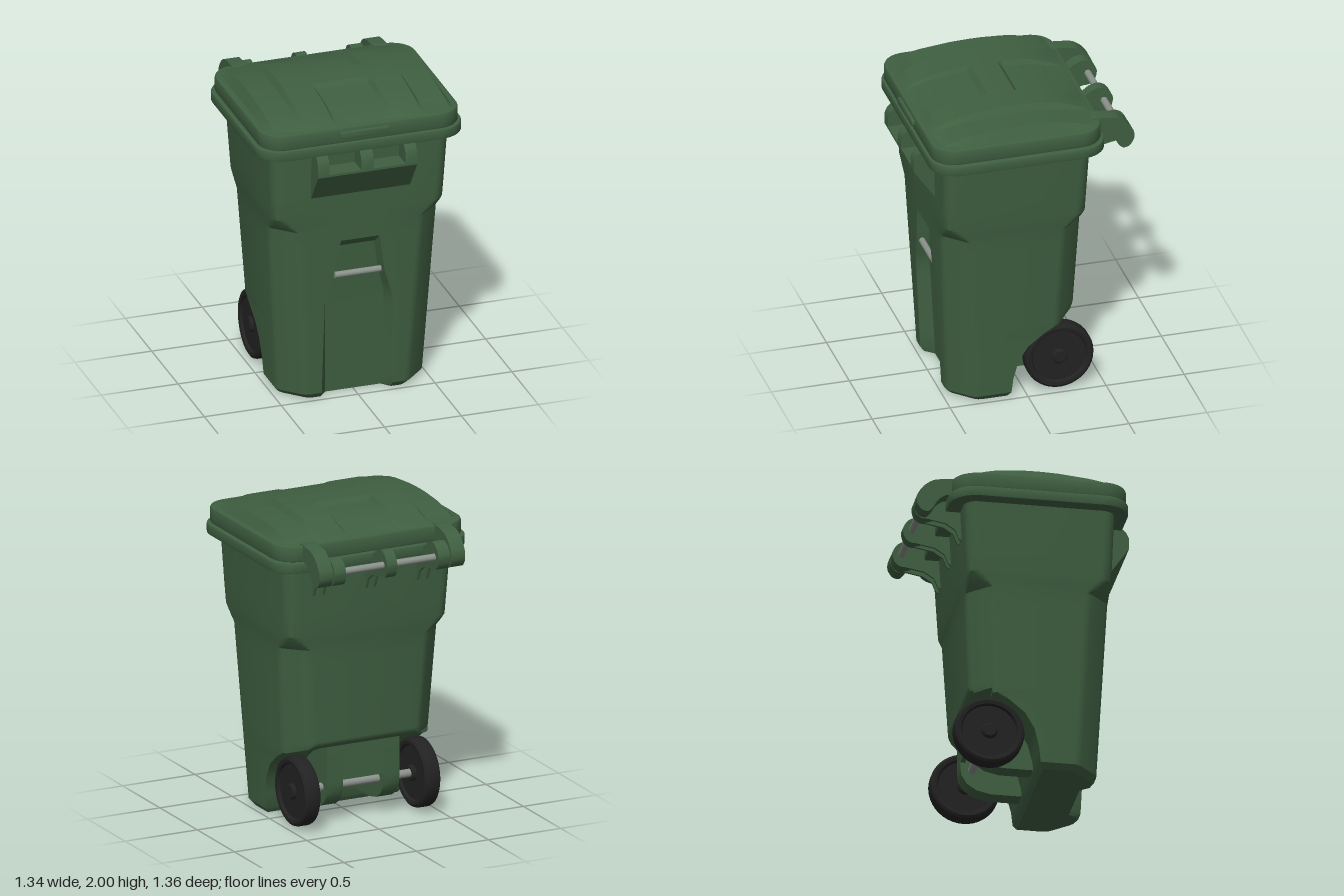
import * as THREE from 'three';
import { toCreasedNormals } from 'three/addons/utils/BufferGeometryUtils.js';

const material = (name, color) => {
  const m = new THREE.MeshStandardMaterial({ color });
  m.name = name;
  return m;
};

// Linear interpolation in a table of [key, value] pairs
function at(table, k) {
  if (k <= table[0][0]) return table[0][1];
  for (let i = 1; i < table.length; i++) {
    const [k0, v0] = table[i - 1], [k1, v1] = table[i];
    if (k <= k1) return v0 + (v1 - v0) * (k - k0) / (k1 - k0);
  }
  return table[table.length - 1][1];
}

// Side profile of [z, y] points, extruded to a width along x
function sideExtrude(points, width, x, smooth = false) {
  const v = points.map(p => new THREE.Vector2(p[0], p[1]));
  const outline = smooth ? new THREE.CatmullRomCurve3(v.map(p => new THREE.Vector3(p.x, p.y, 0)), true, 'catmullrom', 0.4)
    .getPoints(48).slice(0, -1).map(p => new THREE.Vector2(p.x, p.y)) : v;
  const g = new THREE.ExtrudeGeometry(new THREE.Shape(outline), { depth: width, bevelEnabled: false });
  g.translate(0, 0, -width / 2).rotateY(-Math.PI / 2).translate(x, 0, 0);
  return toCreasedNormals(g, 0.5);
}

// Horizontal slab with rounded corners
function slab(hx, zBack, zFront, r, y0, y1, bevel) {
  const s = new THREE.Shape(), a = -zFront, b = -zBack;
  s.moveTo(-hx + r, a).lineTo(hx - r, a);
  s.absarc(hx - r, a + r, r, -Math.PI / 2, 0);
  s.absarc(hx - r, b - r, r, 0, Math.PI / 2);
  s.absarc(-hx + r, b - r, r, Math.PI / 2, Math.PI);
  s.absarc(-hx + r, a + r, r, Math.PI, Math.PI * 1.5);
  const g = new THREE.ExtrudeGeometry(s, {
    depth: y1 - y0 - 2 * bevel, bevelSize: bevel, bevelOffset: -bevel,
    bevelThickness: bevel, bevelSegments: 2, curveSegments: 8,
  });
  g.rotateX(-Math.PI / 2).translate(0, y0 + bevel, 0);
  return toCreasedNormals(g, 0.6);
}

// One horizontal outline of the tub, with chamfered corners, front channel and wheel arch
const CHAMFER = [[1.1, 0], [0.95, 0.03], [0.8, 0.13], [0.13, 0.8], [0.03, 0.95], [0, 1.1]];
function tubOutline(y) {
  const inset = at([[0, 0.025], [0.035, 0]], y);
  const hx = at([[0, 0.475], [1.74, 0.585]], y) - inset;
  const zf = at([[0, 0.477], [1.4, 0.545], [1.74, 0.555]], y) - inset;
  const zb = at([[0, -0.3], [0.55, -0.33], [1.74, -0.39]], y);
  const cut = at([[0, 0.12], [0.035, 0.1], [0.13, 0.09], [0.25, 0.06], [0.35, 0], [0.43, -0.1],
    [0.475, -0.2], [0.51, -0.3], [0.55, -0.34], [0.56, -1]], y);
  const depth = at([[0, 0.08], [0.6, 0.08], [1.01, 0.07], [1.075, 0]], y) - inset * (y < 1 ? 1 : 0);
  const inner = at([[0, 0.18], [0.65, 0.19], [0.83, 0.145], [1.01, 0.12]], y);
  const outer = at([[0, 0.23], [0.65, 0.22], [0.83, 0.165], [1.075, 0.13]], y);
  const t = at([[1.17, 1], [1.27, 0]], y), r = 0.08 + 0.075 * t;
  const corner = CHAMFER.map(([u, v], k) => {
    const a = k * Math.PI / 10;
    return [(u * t + (1 - Math.sin(a)) * (1 - t)) * r, (v * t + (1 - Math.cos(a)) * (1 - t)) * r];
  });
  const half = [[inner, zf - depth], [outer, zf]];
  corner.forEach(([u, v]) => half.push([hx - u, zf - v]));
  [...corner].reverse().forEach(([u, v]) => half.push([hx - u, Math.max(zb + v, cut)]));
  return [...half, ...half.map(([x, z]) => [-x, z]).reverse()];
}

function tubGeometry() {
  const ys = [0, 0.015, 0.035, 0.13, 0.25, 0.3, 0.35, 0.39, 0.43, 0.475, 0.51, 0.53, 0.55, 0.56, 0.65, 0.74, 0.83,
    0.92, 1.01, 1.075, 1.17, 1.2, 1.24, 1.27, 1.4, 1.74];
  const rows = ys.map(tubOutline), n = rows[0].length, pos = [], idx = [];
  rows.forEach((row, i) => row.forEach(([x, z]) => pos.push(x, ys[i], z)));
  for (let i = 0; i < rows.length - 1; i++) for (let j = 0; j < n; j++) {
    const a = i * n + j, b = i * n + (j + 1) % n;
    idx.push(a, b, b + n, a, b + n, a + n);
  }
  const floor = rows[0].map(([x, z]) => new THREE.Vector2(x, -z));
  THREE.ShapeUtils.triangulateShape(floor, []).forEach(([a, b, c]) => idx.push(a, c, b));
  return finish(pos, idx);
}

function finish(pos, idx) {
  const g = new THREE.BufferGeometry();
  g.setAttribute('position', new THREE.Float32BufferAttribute(pos, 3));
  g.setIndex(idx);
  return toCreasedNormals(g, 0.45);
}

// Domed lid top: a raised deck with two sunken panels, and lower shoulders at the sides
function lidDomeGeometry() {
  const xh = [0.17, 0.19, 0.375, 0.4, 0.57, 0.61];
  const xs = [...xh.map(x => -x).reverse(), ...xh];
  const zs = [-0.45, -0.41, -0.35, -0.28, -0.2, -0.12, -0.03, 0, 0.08, 0.17, 0.2, 0.3, 0.4, 0.48, 0.54, 0.58, 0.61];
  const crown = [[-0.45, 1.885], [-0.41, 1.905], [-0.3, 1.95], [-0.2, 1.98], [-0.05, 1.996], [0.05, 2],
    [0.2, 1.993], [0.4, 1.965], [0.5, 1.94], [0.58, 1.905], [0.61, 1.885]];
  const pos = [], idx = [];
  for (const z of zs) for (const x of xs) {
    const ax = Math.abs(x), panel = ax < 0.18 && (z < -0.02 || z > 0.19);
    const f = ax > 0.6 ? 0 : ax > 0.39 ? 0.65 : panel ? 0.72 : 1;
    const s = ax > 0.6 ? 0.86 : ax > 0.5 ? 0.94 : 1;
    pos.push(x, 1.885 + (at(crown, z) - 1.885) * f, 0.08 + (z - 0.08) * s);
  }
  const n = xs.length;
  for (let i = 0; i < zs.length - 1; i++) for (let j = 0; j < n - 1; j++) {
    const a = i * n + j;
    idx.push(a, a + n, a + n + 1, a, a + n + 1, a + 1);
  }
  return finish(pos, idx);
}

export function createModel() {
  const green = material('green plastic', 0x3f5f41);
  const black = material('black rubber', 0x222222);
  const grey = material('grey metal', 0x8a908a);
  const model = new THREE.Group();
  model.name = 'wheeledBin';
  const add = (name, geometry, mat = green) => {
    const m = new THREE.Mesh(geometry, mat);
    m.name = name;
    model.add(m);
    return m;
  };
  const rod = (name, r, length, y, z, mat = grey) =>
    add(name, new THREE.CylinderGeometry(r, r, length, 20).rotateZ(Math.PI / 2).translate(0, y, z), mat);

  // Tub, rim and lid
  add('tub', tubGeometry());
  add('rim', slab(0.67, -0.48, 0.64, 0.17, 1.72, 1.787, 0.008));
  add('lidBand', slab(0.648, -0.46, 0.628, 0.155, 1.785, 1.89, 0.015));
  add('lidDome', lidDomeGeometry());

  // Grip tab on the lid front
  const tab = slab(0.165, -0.0225, 0.0225, 0.022, 0, 0.04, 0.006);
  add('lidTab', tab.rotateX(Math.PI / 2).translate(0, 1.843, 0.607));

  // Lifting ledge under the front rim, with three pegs
  add('liftLedge', sideExtrude([[0.5, 1.4], [0.545, 1.4], [0.68, 1.595], [0.68, 1.61], [0.5, 1.61]], 0.645, 0));
  for (const [x, w] of [[-0.285, 0.075], [0, 0.08], [0.285, 0.075]])
    add('liftPeg', sideExtrude([[0.52, 1.6], [0.68, 1.6], [0.68, 1.67], [0.665, 1.705], [0.645, 1.725], [0.52, 1.725]], w, x));

  // Catch bar across the front channel
  rod('catchBar', 0.02, 0.3, 0.83, 0.49);

  // Hinge arms on the lid
  const lidArm = [[-0.4, 1.89], [-0.52, 1.888], [-0.58, 1.875], [-0.635, 1.835], [-0.675, 1.775], [-0.678, 1.72],
    [-0.65, 1.675], [-0.61, 1.665], [-0.58, 1.69], [-0.55, 1.74], [-0.51, 1.775], [-0.46, 1.79], [-0.4, 1.79]];
  for (const s of [-1, 1]) add('lidHingeArm', sideExtrude(lidArm, 0.095, s * 0.457, true));

  // Hinge brackets on the tub: a hook over the rod and two thin ribs below
  const hook = [[-0.42, 1.775], [-0.49, 1.785], [-0.54, 1.82], [-0.6, 1.835], [-0.65, 1.81], [-0.68, 1.755],
    [-0.665, 1.69], [-0.62, 1.662], [-0.56, 1.675], [-0.5, 1.715], [-0.42, 1.73]];
  const rib = [[-0.36, 1.74], [-0.5, 1.74], [-0.6, 1.7], [-0.62, 1.665], [-0.56, 1.655], [-0.48, 1.64],
    [-0.42, 1.6], [-0.395, 1.54], [-0.36, 1.52]];
  for (const [x, w] of [[-0.36, 0.08], [0, 0.07], [0.36, 0.08]]) {
    add('hingeHook', sideExtrude(hook, w, x, true));
    for (const s of [-1, 1]) add('hingeRib', sideExtrude(rib, 0.014, x + s * (w / 2 - 0.007)));
  }
  rod('hingeRod', 0.022, 0.82, 1.745, -0.622);

  // Axle housing: two legs and a rear panel
  const leg = [[0.12, 0.08], [-0.1, 0.08], [-0.19, 0.1], [-0.25, 0.14], [-0.285, 0.2], [-0.29, 0.27], [-0.29, 0.52], [0, 0.45], [0.12, 0.3]];
  for (const s of [-1, 1]) add('axleLeg', sideExtrude(leg, 0.11, s * 0.195));
  add('axlePanel', sideExtrude([[-0.29, 0.28], [-0.26, 0.28], [-0.26, 0.5], [-0.29, 0.52]], 0.29, 0));
  rod('axle', 0.026, 0.8, 0.23, -0.215);

  // Wheels with a raised tyre edge, sunken disc and hub on both faces
  const face = [[0, 0.056], [0.04, 0.056], [0.05, 0.046], [0.05, 0.034], [0.17, 0.034], [0.178, 0.05], [0.2, 0.054], [0.215, 0.044], [0.22, 0.028]];
  const profile = [...face.map(([r, h]) => [r, -h]), ...[...face].reverse()].map(p => new THREE.Vector2(p[0], p[1]));
  const wheel = toCreasedNormals(new THREE.LatheGeometry(profile, 40).rotateZ(Math.PI / 2), 0.6);
  for (const s of [-1, 1]) add(s > 0 ? 'leftWheel' : 'rightWheel', wheel, black).position.set(s * 0.415, 0.23, -0.215);

  return model;
}
